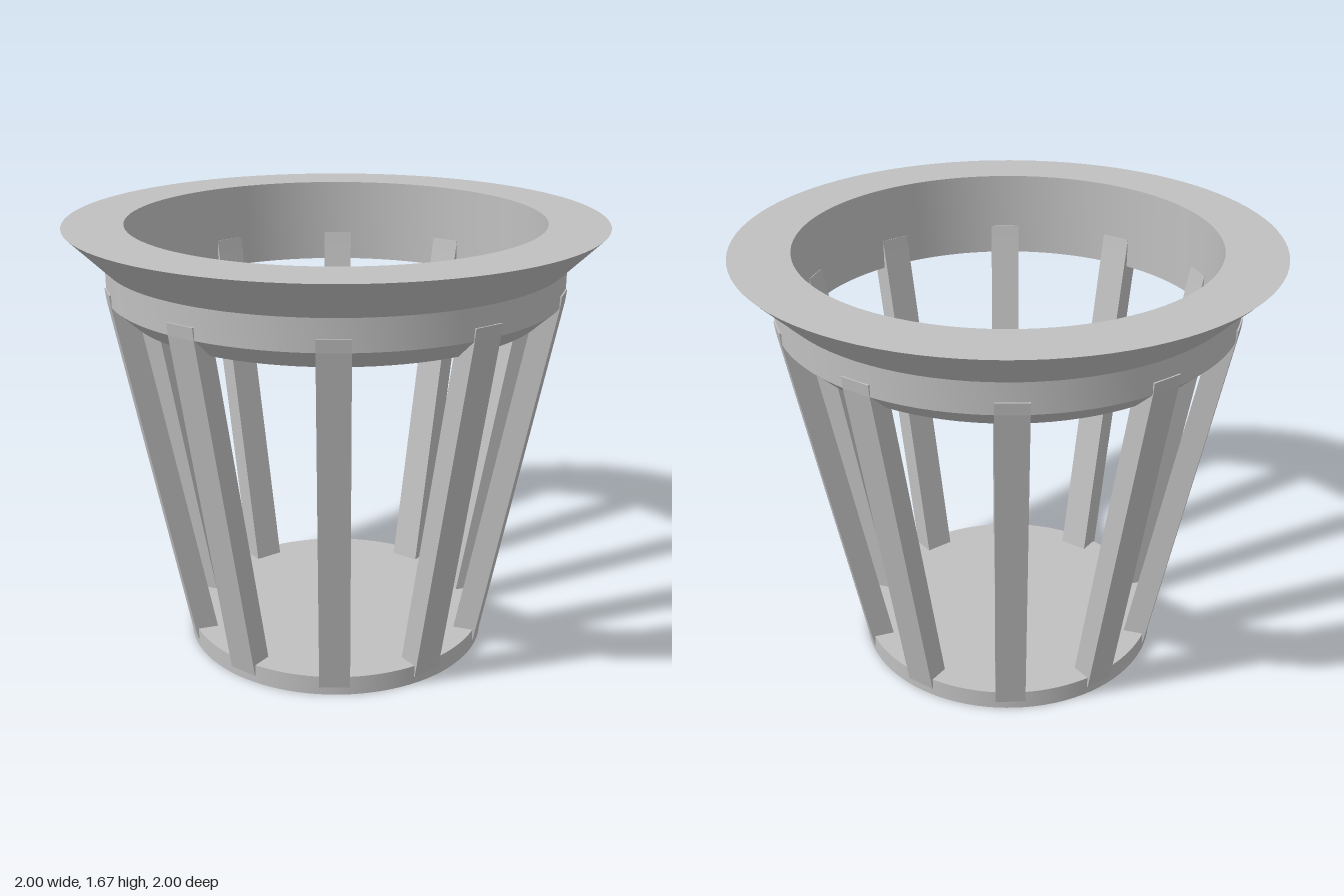
import * as THREE from 'three';
import { toCreasedNormals } from 'three/addons/utils/BufferGeometryUtils.js';

const SLATS = 10;
const SLAT_WIDTH = 0.115;
const SEGMENTS = 96;

const points = (list) => list.map(([x, y]) => new THREE.Vector2(x, y));

export function createModel() {
  const basket = new THREE.Group();
  basket.name = 'basket';
  const grey = new THREE.MeshStandardMaterial({ color: 0xc0c0c0 });
  grey.name = 'grey';

  const add = (name, geometry) => {
    const mesh = new THREE.Mesh(geometry, grey);
    mesh.name = name;
    basket.add(mesh);
    return mesh;
  };

  // Solid round floor
  const base = new THREE.CylinderGeometry(0.592, 0.592, 0.075, SEGMENTS);
  base.translate(0, 0.0375, 0);
  add('base', base);

  // Collar with chamfered lower edge and flared lip, straight inside
  const rim = new THREE.LatheGeometry(points([
    [0.777, 1.34], [0.853, 1.41], [0.853, 1.525], [1, 1.67], [0.777, 1.67], [0.777, 1.34],
  ]), SEGMENTS);
  add('rim', toCreasedNormals(rim, 0.5));

  // Leaning slats, upright at the top where they meet the collar
  const profile = new THREE.Shape(points([
    [0.503, 0.03], [0.592, 0.03], [0.853, 1.41], [0.858, 1.455], [0.774, 1.455], [0.766, 1.41],
  ]));
  const slat = new THREE.ExtrudeGeometry(profile, { depth: SLAT_WIDTH, bevelEnabled: false });
  slat.translate(0, 0, -SLAT_WIDTH / 2);
  for (let i = 0; i < SLATS; i++) {
    add(`slat${i + 1}`, slat).rotation.y = (i / SLATS) * Math.PI * 2;
  }

  return basket;
}
